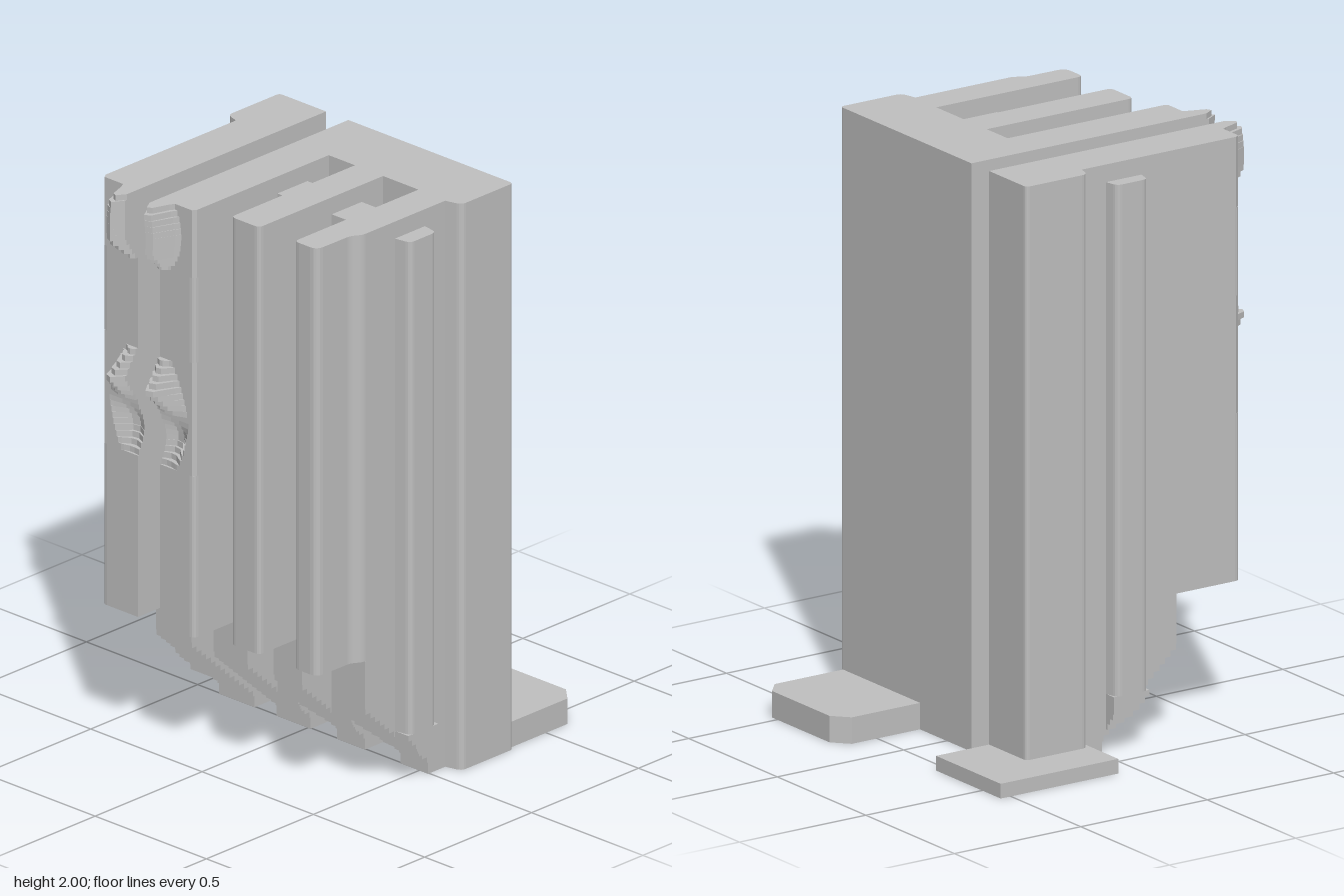
import * as THREE from 'three';
import { mergeGeometries } from 'three/addons/utils/BufferGeometryUtils.js';

// Horizontal slab: plan corners [x, z, cornerRadius] extruded from y0 to y1.
function slab(pts, y0, y1) {
  const shape = new THREE.Shape();
  const n = pts.length;
  pts.forEach((p, i) => {
    const c = new THREE.Vector2(p[0], -p[1]);
    const r = p[2] || 0;
    const toward = (q) => {
      const d = new THREE.Vector2(q[0], -q[1]).sub(c);
      return d.setLength(r).add(c);
    };
    const a = r ? toward(pts[(i + n - 1) % n]) : c;
    if (i === 0) shape.moveTo(a.x, a.y);
    else shape.lineTo(a.x, a.y);
    if (r) {
      const b = toward(pts[(i + 1) % n]);
      shape.quadraticCurveTo(c.x, c.y, b.x, b.y);
    }
  });
  shape.closePath();
  const g = new THREE.ExtrudeGeometry(shape, { depth: y1 - y0, bevelEnabled: false, curveSegments: 4 });
  return g.rotateX(-Math.PI / 2).translate(0, y0, 0);
}

const rect = (x0, x1, z0, z1, rl = 0, rr = rl) => [[x0, z0], [x1, z0], [x1, z1, rr], [x0, z1, rl]];
const clamp = THREE.MathUtils.clamp;
const STEP = 0.02;
const CENTRE = -0.19; // middle of the slot between the two halves

// Front edge of the stepped underside at height y
const underside = (y) => clamp((y - 0.04) * 1.1, 0, 0.3);

export function createModel() {
  const model = new THREE.Group();
  const grey = new THREE.MeshStandardMaterial({ color: 0xc0c0c0 });
  grey.name = 'plain grey';
  const add = (name, geos) => {
    const mesh = new THREE.Mesh(mergeGeometries(geos), grey);
    mesh.name = name;
    model.add(mesh);
  };

  // Upright back blocks
  add('rightBackBlock', [slab([[-0.45, -0.33, 0.015], [-0.24, -0.33], [-0.24, -0.08],
    [-0.4, -0.075], [-0.45, -0.09, 0.02]], 0, 2)]);
  add('leftBackBlock', [slab([[-0.14, -0.33], [0.6, -0.33, 0.015], [0.6, -0.09, 0.02],
    [0.54, -0.075], [0.54, -0.08], [-0.14, -0.08]], 0, 2)]);

  // Foot plates
  add('rightFootPlate', [slab(rect(-0.605, -0.24, -0.54, -0.075), 0, 0.05)]);
  add('leftFootPlate', [slab([[0.15, -0.32], [0.15, -0.6], [0.205, -0.65], [0.53, -0.65],
    [0.585, -0.6], [0.585, -0.32]], 0, 0.09)]);

  // Cross rail, one piece per half
  add('rightRail', [slab([[-0.3, 0.02], [-0.3, 0.16], [-0.4, 0.16], [-0.45, 0.15, 0.02],
    [-0.45, 0.03, 0.02], [-0.4, 0.02]], 0.2, 1.94)]);
  add('leftRail', [slab([[-0.05, 0.02], [0.54, 0.02], [0.6, 0.03, 0.02], [0.6, 0.15, 0.02],
    [0.54, 0.16], [-0.05, 0.16]], 0.2, 1.94)]);

  // Fins: widths, flare limits beyond each side
  const fins = [
    { name: 'outerRightFin', x0: -0.4, x1: -0.24, fl: 0.045, fr: 0 },
    { name: 'innerRightFin', x0: -0.14, x1: 0.012, fl: 0, fr: 0.06 },
    { name: 'middleFin', x0: 0.13, x1: 0.256, fl: 0.06, fr: 0.08 },
    { name: 'leftFin', x0: 0.415, x1: 0.54, fl: 0.08, fr: 0.06 },
  ];
  fins.forEach(({ name, x0, x1, fl, fr }, i) => {
    const geos = [];
    // Stepped sloping underside, flaring out into the rail
    for (let k = 0; k < 16; k++) {
      const y = k * STEP;
      const zf = underside(y + STEP / 2);
      geos.push(slab(rect(x0, x1, -0.09, Math.max(zf, 0.005)), y, y + STEP));
      const e = (y + STEP - 0.09) * 0.8;
      if (e > 0 && y < 0.195 && zf > 0.03) {
        geos.push(slab(rect(x0 - Math.min(e, fl), x1 + Math.min(e, fr), 0.02, Math.min(0.16, zf)), y, y + STEP));
      }
    }
    geos.push(slab(rect(x0, x1, -0.09, 0.3), 0.32, 0.49));
    // Upper body
    if (i === 3) {
      geos.push(slab([[x0, -0.09], [x1, -0.09], [x1, 0.31, 0.015], [0.517, 0.345, 0.015],
        [0.515, 0.5, 0.03], [x0, 0.5, 0.02]], 0.49, 2));
    } else if (i === 2) {
      geos.push(slab(rect(x0, x1, -0.09, 0.5, 0.02), 0.49, 2));
    } else {
      const rl = i === 0 ? 0.02 : 0, rr = 0.02 - rl;
      geos.push(slab(rect(x0, x1, -0.09, 0.45), 0.49, 2));
      for (const [a, b] of [[0.49, 1.06], [1.46, 1.76]]) {
        geos.push(slab(rect(x0, x1, 0.45, 0.55, rl, rr), a, b));
      }
    }
    add(name, geos);
  });

  // Layered relief on the two front fins: width w and depth d at height y
  const upperRelief = (y) => [
    0.05 + 0.085 * Math.sqrt(Math.max(0.02, 1 - ((y - 1.89) / 0.135) ** 2)),
    0.1 * clamp(Math.min((y - 1.75) / 0.09, (2.04 - y) / 0.06), 0, 1),
  ];
  const lowerRelief = (y) => (y > 1.24
    ? [0.05 + 0.12 * Math.sqrt((1.46 - y) / 0.22), 0.1 * clamp(1 - Math.abs(y - 1.35) / 0.1, 0, 1)]
    : [0.1 + 0.07 * Math.sqrt((y - 1.06) / 0.18), -0.05 * Math.sin(Math.PI * (y - 1.06) / 0.18)]);
  const relief = (side, y0, y1, rule) => {
    const geos = [];
    const edge = side < 0 ? 0.21 : 0.202;
    const count = Math.round((y1 - y0) / STEP);
    for (let k = 0; k < count; k++) {
      const y = y0 + k * STEP;
      const [w, d] = rule(y + STEP / 2);
      const s = w - 0.05;
      const outline = [[0.05, 0.45], [0.05, 0.55 + d * 0.6], [0.05 + s * 0.35, 0.55 + d],
        [0.05 + s * 0.65, 0.55 + d * 0.9], [w, 0.55 + d * 0.2], [w + 0.01, 0.55],
        [edge - 0.01, 0.55], [edge, 0.535], [edge, 0.45]];
      geos.push(slab(outline.map(([x, z]) => [CENTRE + side * x, z]), y, y + STEP));
    }
    return geos;
  };
  for (const side of [-1, 1]) {
    const label = side < 0 ? 'outer' : 'inner';
    add(label + 'UpperRelief', relief(side, 1.76, 2, upperRelief));
    add(label + 'LowerRelief', relief(side, 1.06, 1.46, lowerRelief));
  }

  return model;
}
